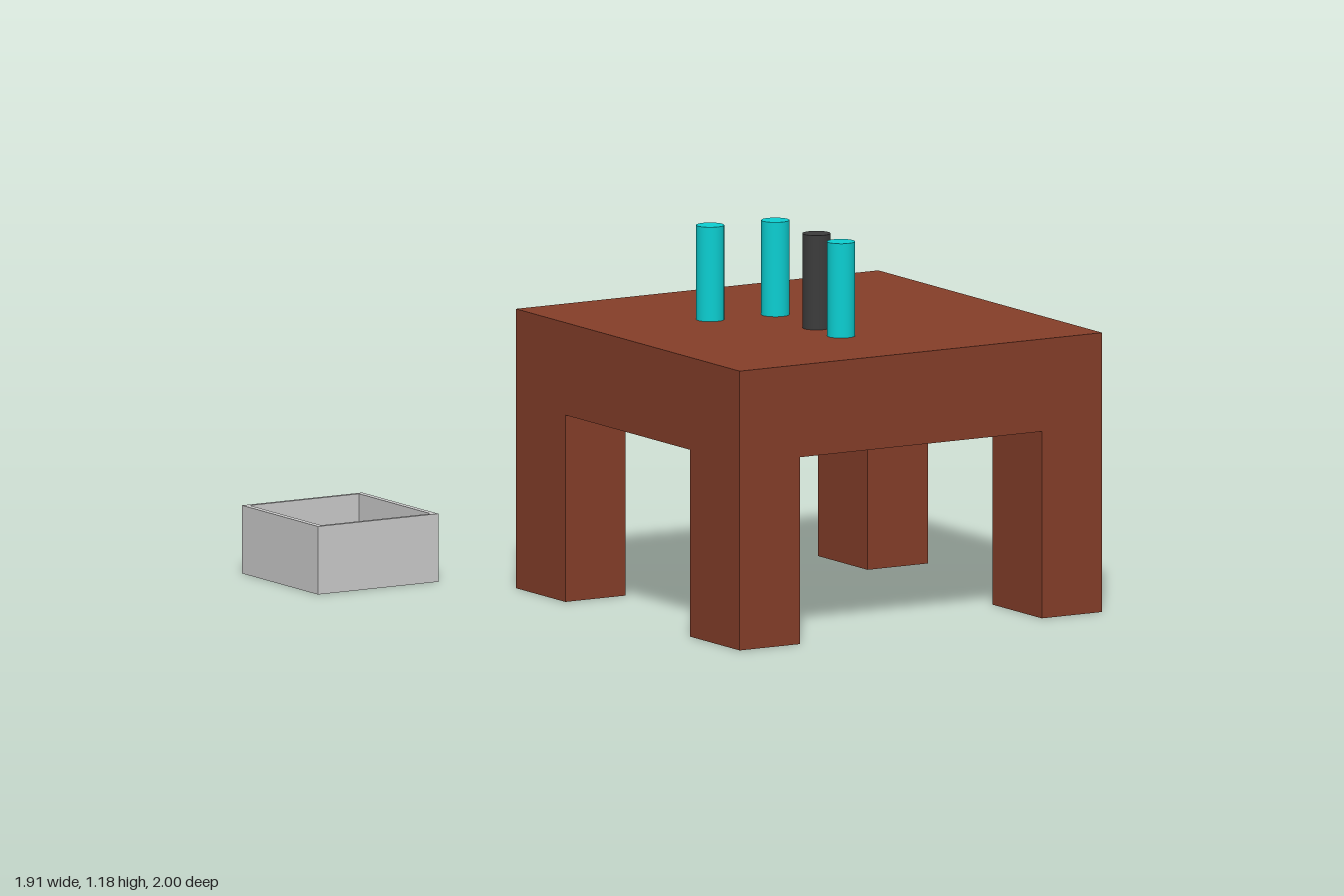
import * as THREE from 'three';

const brown = new THREE.MeshStandardMaterial({ color: 0x853e29 });
const teal = new THREE.MeshStandardMaterial({ color: 0x0ccfd2 });
const black = new THREE.MeshStandardMaterial({ color: 0x3c3c3c });
const grey = new THREE.MeshStandardMaterial({ color: 0xcccccc });

// Box given by its lower and upper corners
function box(name, material, [x0, y0, z0], [x1, y1, z1]) {
  const mesh = new THREE.Mesh(new THREE.BoxGeometry(x1 - x0, y1 - y0, z1 - z0), material);
  mesh.position.set((x0 + x1) / 2, (y0 + y1) / 2, (z0 + z1) / 2);
  mesh.name = name;
  return mesh;
}

function rectangle(PathType, w, d) {
  return new PathType([
    new THREE.Vector2(-w / 2, -d / 2), new THREE.Vector2(w / 2, -d / 2),
    new THREE.Vector2(w / 2, d / 2), new THREE.Vector2(-w / 2, d / 2),
  ]);
}

export function createModel() {
  const model = new THREE.Group();

  // Table: thick top on four rectangular legs
  const table = new THREE.Group();
  table.name = 'table';
  const left = 0.955, right = -0.37, front = 1, back = -0.325;
  const under = 0.59, top = 0.882, legW = 0.22, legD = 0.293;
  table.add(box('tableTop', brown, [right, under, back], [left, top, front]));
  for (const x of [right, left - legW]) {
    for (const z of [back, front - legD]) {
      const name = (z > 0 ? 'front' : 'back') + (x > 0 ? 'Left' : 'Right') + 'Leg';
      table.add(box(name, brown, [x, 0, z], [x + legW, under, z + legD]));
    }
  }
  model.add(table);

  // Cylinders standing on the table
  const canHeight = 0.298;
  const cans = [
    [0.045, 0.153, teal], [0.264, 0.184, teal],
    [0.235, 0.62, teal], [0.247, 0.455, black],
  ];
  for (const [x, z, material] of cans) {
    const can = new THREE.Mesh(new THREE.CylinderGeometry(0.044, 0.044, canHeight, 32), material);
    can.position.set(x, top + canHeight / 2, z);
    can.name = material === teal ? 'tealCylinder' : 'blackCylinder';
    model.add(can);
  }

  // Open bin on the ground: a wall ring around a thin floor
  const bin = new THREE.Group();
  bin.name = 'bin';
  const w = 0.44, d = 0.45, h = 0.215, floor = 0.015;
  const innerW = w - 0.04, innerD = d - 0.028;
  const ring = rectangle(THREE.Shape, w, d);
  ring.holes.push(rectangle(THREE.Path, innerW, innerD));
  const walls = new THREE.Mesh(
    new THREE.ExtrudeGeometry(ring, { depth: h, bevelEnabled: false }).rotateX(-Math.PI / 2), grey);
  walls.name = 'binWalls';
  bin.add(walls, box('binFloor', grey,
    [-innerW / 2, 0, -innerD / 2], [innerW / 2, floor, innerD / 2]));
  bin.position.set(-0.955 + w / 2, 0, -1 + d / 2);
  model.add(bin);

  return model;
}
